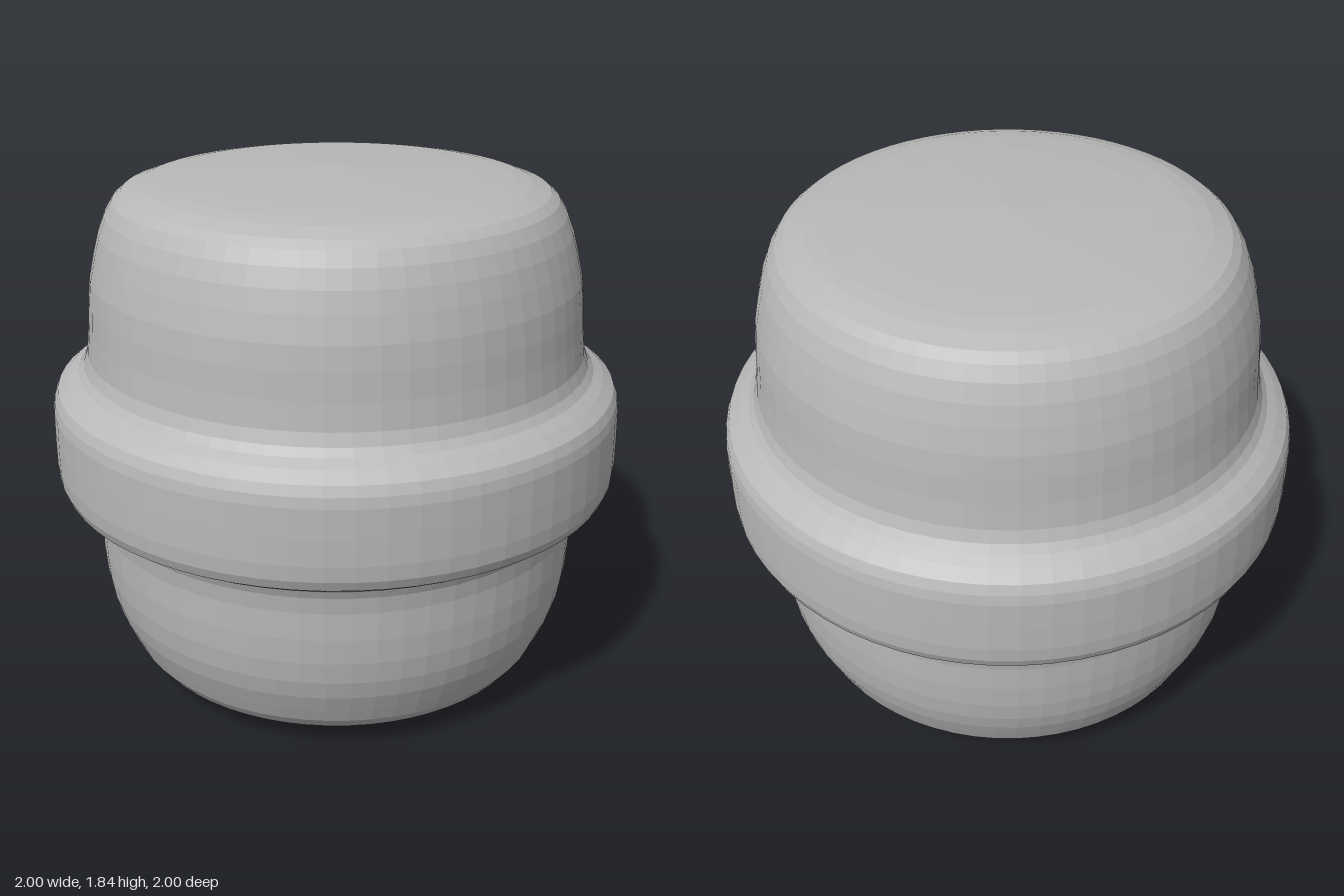
import * as THREE from 'three';

const SIDES = 64;

export function createModel() {
  const group = new THREE.Group();
  group.name = 'bandedDrum';

  const grey = new THREE.MeshStandardMaterial({ color: 0xb8b8b8, flatShading: true });
  grey.name = 'grey';

  // Half profile sections as [radius, height], running bottom to top
  const sections = {
    // domed base and rounded lower wall
    lowerBody: [
      [0, 0], [0.25, 0.015], [0.47, 0.028], [0.6, 0.042], [0.67, 0.06], [0.73, 0.09],
      [0.765, 0.135], [0.79, 0.19], [0.82, 0.26], [0.84, 0.33], [0.853, 0.41],
      [0.86, 0.5], [0.862, 0.6], [0.87, 0.66],
    ],
    // raised belt with soft fillets
    belt: [
      [0.87, 0.66], [0.882, 0.69], [0.905, 0.71], [0.944, 0.727], [0.98, 0.75],
      [0.995, 0.786], [1, 0.84], [1, 0.93], [0.998, 1.03], [0.992, 1.065],
      [0.978, 1.098], [0.94, 1.13], [0.905, 1.152], [0.885, 1.178], [0.87, 1.22],
    ],
    // tapering upper wall and domed top
    upperBody: [
      [0.87, 1.22], [0.86, 1.31], [0.854, 1.4], [0.845, 1.48], [0.826, 1.565],
      [0.807, 1.635], [0.783, 1.695], [0.755, 1.74], [0.725, 1.765], [0.66, 1.788],
      [0.6, 1.799], [0.47, 1.811], [0.25, 1.824], [0, 1.835],
    ],
  };

  for (const [name, profile] of Object.entries(sections)) {
    const points = profile.map(([r, y]) => new THREE.Vector2(r, y));
    const mesh = new THREE.Mesh(new THREE.LatheGeometry(points, SIDES), grey);
    mesh.name = name;
    group.add(mesh);
  }
  return group;
}
